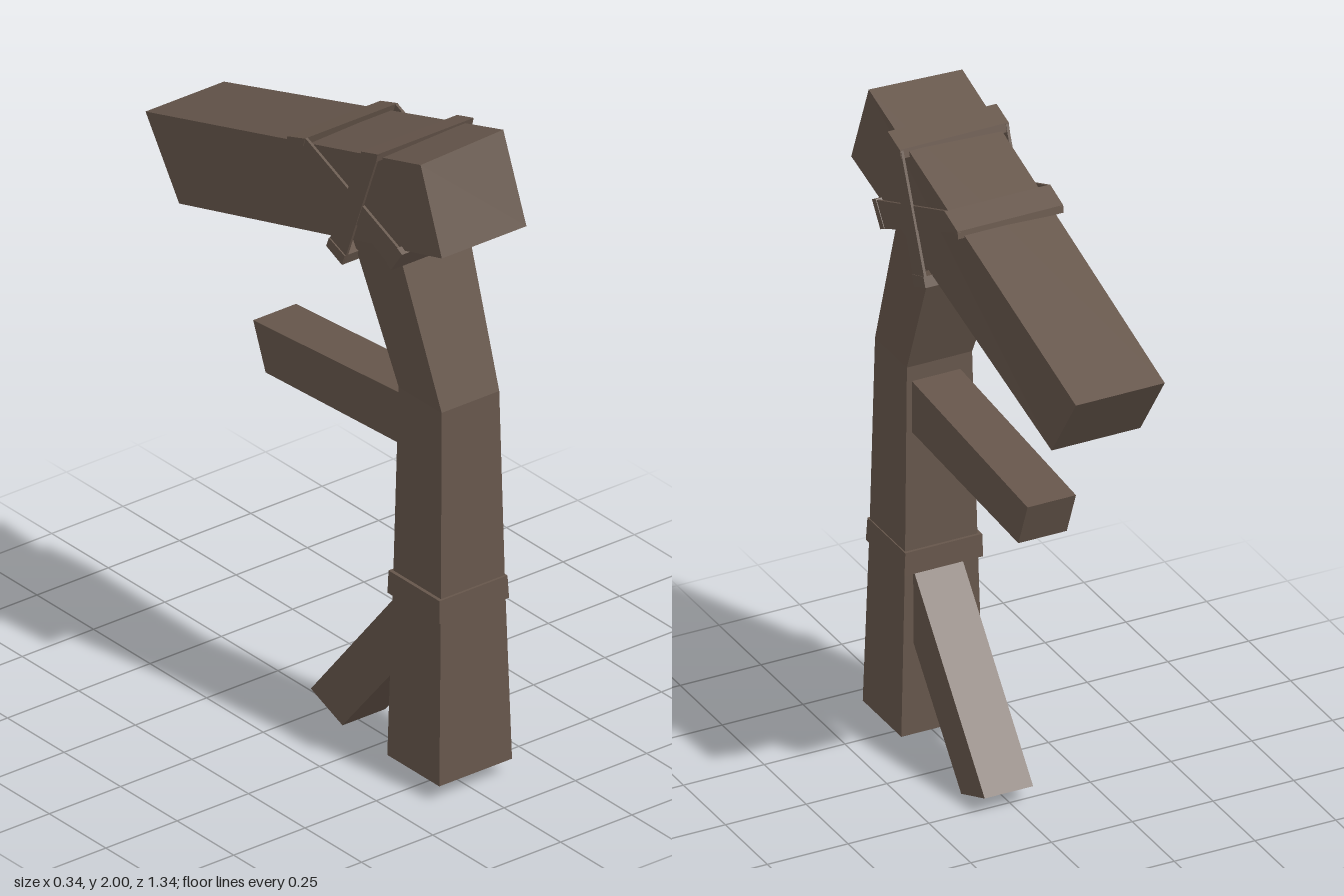
import * as THREE from 'three';

// Skin between rings of corners, each ring counter-clockwise seen from the end of travel.
function loft(rings, capStart = true, capEnd = true) {
  const pos = [];
  const quad = (a, b, c, d) => [a, b, c, a, c, d].forEach((p) => pos.push(...p));
  for (let i = 0; i < rings.length - 1; i++) {
    const a = rings[i], b = rings[i + 1];
    for (let j = 0; j < 4; j++) {
      const k = (j + 1) % 4;
      quad(a[j], a[k], b[k], b[j]);
    }
  }
  const last = rings[rings.length - 1];
  if (capStart) quad(rings[0][3], rings[0][2], rings[0][1], rings[0][0]);
  if (capEnd) quad(last[0], last[1], last[2], last[3]);
  const geo = new THREE.BufferGeometry();
  geo.setAttribute('position', new THREE.Float32BufferAttribute(pos, 3));
  geo.computeVertexNormals();
  return geo;
}

// Side outline of [z, y] corners carried across from x0 to x1.
function plank(outline, x0, x1) {
  return loft([x0, x1].map((x) => outline.map(([z, y]) => [x, y, z])));
}

// Level cross-section of the post; front and back edges may differ in height.
function section(x0, x1, zBack, zFront, yBack, yFront = yBack) {
  return [[x1, yFront, zFront], [x1, yBack, zBack], [x0, yBack, zBack], [x0, yFront, zFront]];
}

export function createModel() {
  const group = new THREE.Group();
  const wood = new THREE.MeshStandardMaterial({ color: 0x66564b, side: THREE.DoubleSide });
  wood.name = 'dark wood';
  wood.flatShading = true;

  const add = (name, geo, parent = group) => {
    const mesh = new THREE.Mesh(geo, wood);
    mesh.name = name;
    parent.add(mesh);
  };

  // Bent post, hollow underneath
  add('post', loft([
    section(-0.12, 0.135, 0.385, 0.615, 0.05),
    section(-0.105, 0.12, 0.392, 0.603, 0.6),
    section(-0.092, 0.11, 0.4, 0.59, 1.2),
    section(-0.13, 0.115, 0.225, 0.43, 1.65, 1.7),
  ], false, true));

  // Heavy slanted beam, slightly wider at the front
  const beamSide = (xs, ys) => [[0.57, 2], [0.67, 1.74], [-0.51, 1.4], [-0.665, 1.62]]
    .map(([z, y], i) => [xs[i], y + ys[i], z]);
  add('beam', loft([
    beamSide([-0.15, -0.155, -0.14, -0.135], [-0.012, 0, 0, 0]),
    beamSide([0.14, 0.142, 0.135, 0.14], [0, 0, 0, 0]),
  ]));

  // Branch stub and ground brace
  add('branch', plank([[0.45, 1.158], [0.45, 0.997], [-0.235, 0.96], [-0.29, 1.1]], -0.055, 0.095));
  add('brace', plank([[0.42, 0.6], [0.42, 0.37], [0.105, 0], [-0.035, 0.055]], -0.055, 0.095));

  // Band around the post
  add('postBand', loft([
    section(-0.117, 0.127, 0.382, 0.612, 0.556),
    section(-0.115, 0.123, 0.384, 0.61, 0.626),
  ]));

  // Crossed straps standing a little off the beam
  const straps = [
    {
      name: 'rearLeaningStrap', x0: -0.168, x1: 0.165,
      side: [[0.405, 1.955], [0.25, 1.545], [0.18, 1.575], [0.33, 1.932]],
      top: [[0.405, 1.957], [0.398, 1.93], [0.325, 1.91], [0.332, 1.935]],
      bottom: [[0.262, 1.578], [0.25, 1.545], [0.18, 1.575], [0.192, 1.605]],
    },
    {
      name: 'frontLeaningStrap', x0: -0.165, x1: 0.158,
      side: [[0.08, 1.866], [0.51, 1.688], [0.462, 1.62], [0, 1.837]],
      top: [[0.08, 1.866], [0.072, 1.84], [-0.002, 1.818], [0.002, 1.84]],
      bottom: [[0.49, 1.7], [0.512, 1.688], [0.462, 1.618], [0.44, 1.632]],
    },
  ];
  for (const { name, x0, x1, side, top, bottom } of straps) {
    const strap = new THREE.Group();
    strap.name = name;
    add('strapRightSide', plank(side, x0, x0 + 0.008), strap);
    add('strapLeftSide', plank(side, x1 - 0.008, x1), strap);
    add('strapTop', plank(top, x0 - 0.002, x1 + 0.002), strap);
    add('strapBottom', plank(bottom, x0 - 0.004, x1 + 0.002), strap);
    group.add(strap);
  }
  return group;
}
